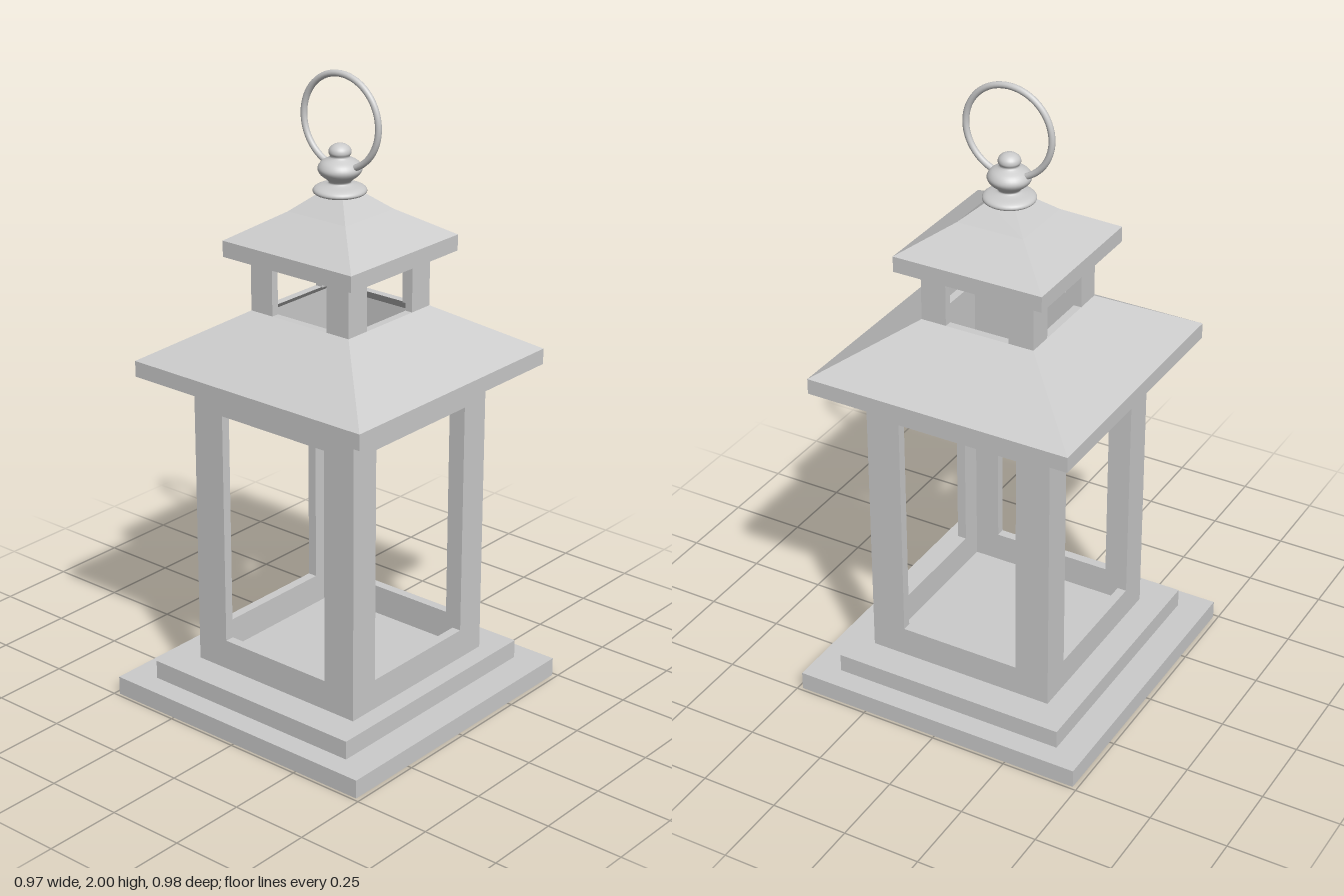
import * as THREE from 'three';

const material = new THREE.MeshStandardMaterial({ color: 0xcccccc });
const CX = 0.012; // the lantern sits slightly off the centre of its base

function add(parent, name, geometry, x = 0, y = 0, z = 0) {
  const mesh = new THREE.Mesh(geometry, material);
  mesh.name = name;
  mesh.position.set(x, y, z);
  parent.add(mesh);
  return mesh;
}

// Four-sided lathe: profile of [half width, y], flat faces
function squareLathe(profile) {
  const points = profile.map(([h, y]) => new THREE.Vector2(h * Math.SQRT2, y));
  const geometry = new THREE.LatheGeometry(points, 4).rotateY(Math.PI / 4).toNonIndexed();
  geometry.computeVertexNormals();
  return geometry;
}

// Flat panel in the xy plane with a rectangular window, centred in depth
function windowPanel(half, y0, y1, holeHalf, hole0, hole1, depth) {
  const rect = (h, a, b) => [[-h, a], [h, a], [h, b], [-h, b]].map(p => new THREE.Vector2(...p));
  const shape = new THREE.Shape(rect(half, y0, y1));
  shape.holes.push(new THREE.Path(rect(holeHalf, hole0, hole1).reverse()));
  return new THREE.ExtrudeGeometry(shape, { depth, bevelEnabled: false }).translate(0, 0, -depth / 2);
}

export function createModel() {
  const model = new THREE.Group();
  model.name = 'lantern';

  // Stepped base
  add(model, 'basePlate', new THREE.BoxGeometry(0.97, 0.06, 0.98), 0, 0.03, 0);
  add(model, 'baseStep', new THREE.BoxGeometry(0.775, 0.06, 0.835), -0.002, 0.09, 0);

  const lantern = new THREE.Group();
  lantern.name = 'lanternBody';
  lantern.position.x = CX;
  model.add(lantern);

  // Four thin window walls
  const H = 0.312, T = 0.03;
  for (const s of [-1, 1]) {
    add(lantern, s > 0 ? 'frontWall' : 'backWall',
      windowPanel(H, 0.12, 1.075, 0.2, 0.217, 0.97, T), 0, 0, s * (H - T / 2));
    add(lantern, s > 0 ? 'leftWall' : 'rightWall',
      windowPanel(H - T, 0.12, 1.075, 0.21, 0.217, 0.97, T), s * (H - T / 2), 0, 0)
      .rotation.y = Math.PI / 2;
  }

  // Hollow lower roof with a flat soffit, open into the cupola
  add(lantern, 'lowerRoof', squareLathe([
    [0.282, 1.075], [0.435, 1.075], [0.435, 1.125], [0.188, 1.275],
    [0.163, 1.275], [0.282, 1.2], [0.282, 1.075],
  ]));

  // Angled corner posts of the cupola
  const o = 0.188, i = 0.105, t = 0.025;
  const angle = new THREE.Shape([
    [o, o], [i, o], [i, o - t], [o - t, o - t], [o - t, i], [o, i],
  ].map(p => new THREE.Vector2(...p)));
  for (let k = 0; k < 4; k++) {
    const post = new THREE.ExtrudeGeometry(angle, { depth: 0.175, bevelEnabled: false });
    post.rotateX(-Math.PI / 2).rotateY(k * Math.PI / 2);
    add(lantern, 'cupolaPost', post, 0, 1.272, 0);
  }

  // Hollow upper roof, steeper towards the top
  add(lantern, 'upperRoof', squareLathe([
    [0.163, 1.445], [0.246, 1.445], [0.246, 1.495], [0.11, 1.58], [0.045, 1.635], [0, 1.635],
    [0, 1.6], [0.09, 1.565], [0.163, 1.515], [0.163, 1.445],
  ]));

  // Turned finial: flange, neck, knob and bead
  const finial = new THREE.SplineCurve([
    [0.045, 1.625], [0.076, 1.634], [0.079, 1.645], [0.066, 1.654], [0.036, 1.662],
    [0.036, 1.672], [0.058, 1.69], [0.066, 1.708], [0.055, 1.727], [0.03, 1.742],
    [0.034, 1.755], [0.031, 1.768], [0.018, 1.779], [0, 1.783],
  ].map(p => new THREE.Vector2(...p))).getPoints(52);
  finial.forEach(p => { p.x = Math.max(p.x, 0); });
  add(lantern, 'finial', new THREE.LatheGeometry(finial, 32), -0.003, 0, 0);

  // Carrying ring
  add(lantern, 'carryingRing', new THREE.TorusGeometry(0.141, 0.01, 12, 64), 0, 1.849, 0);

  return model;
}
